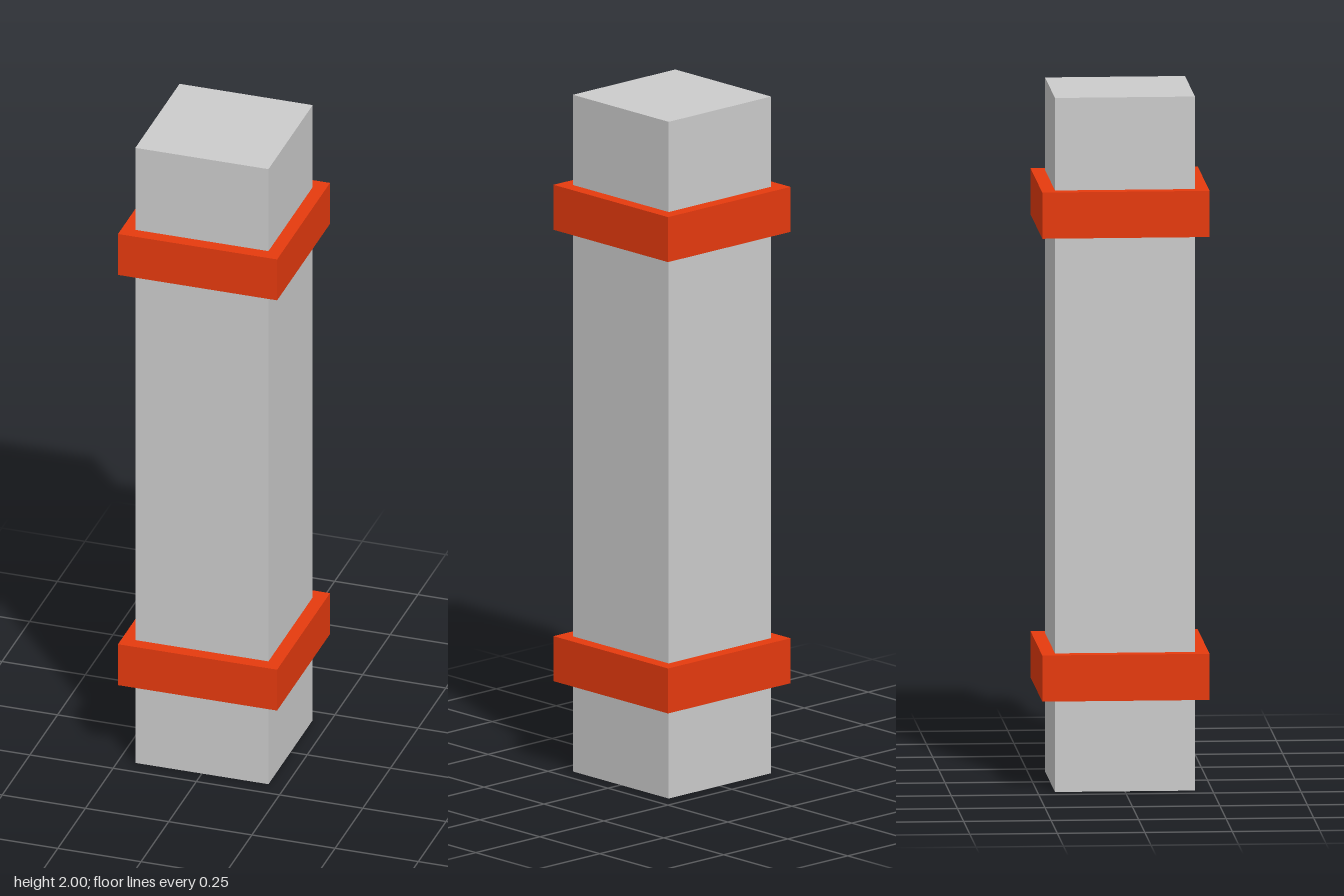
import * as THREE from 'three';

export function createModel() {
  const model = new THREE.Group();
  model.name = 'bandedPillar';

  const grey = new THREE.MeshStandardMaterial({ color: 0xcccccc, flatShading: true });
  const red = new THREE.MeshStandardMaterial({ color: 0xe63a0e, flatShading: true });

  function addBox(name, width, height, y, material) {
    const mesh = new THREE.Mesh(new THREE.BoxGeometry(width, height, width), material);
    mesh.name = name;
    mesh.position.y = y;
    model.add(mesh);
  }

  // Square column
  addBox('column', 0.4, 2, 1, grey);

  // Bands wrapped around the column, mirrored about its middle
  addBox('lowerBand', 0.478, 0.133, 0.333, red);
  addBox('upperBand', 0.478, 0.133, 1.667, red);

  return model;
}
